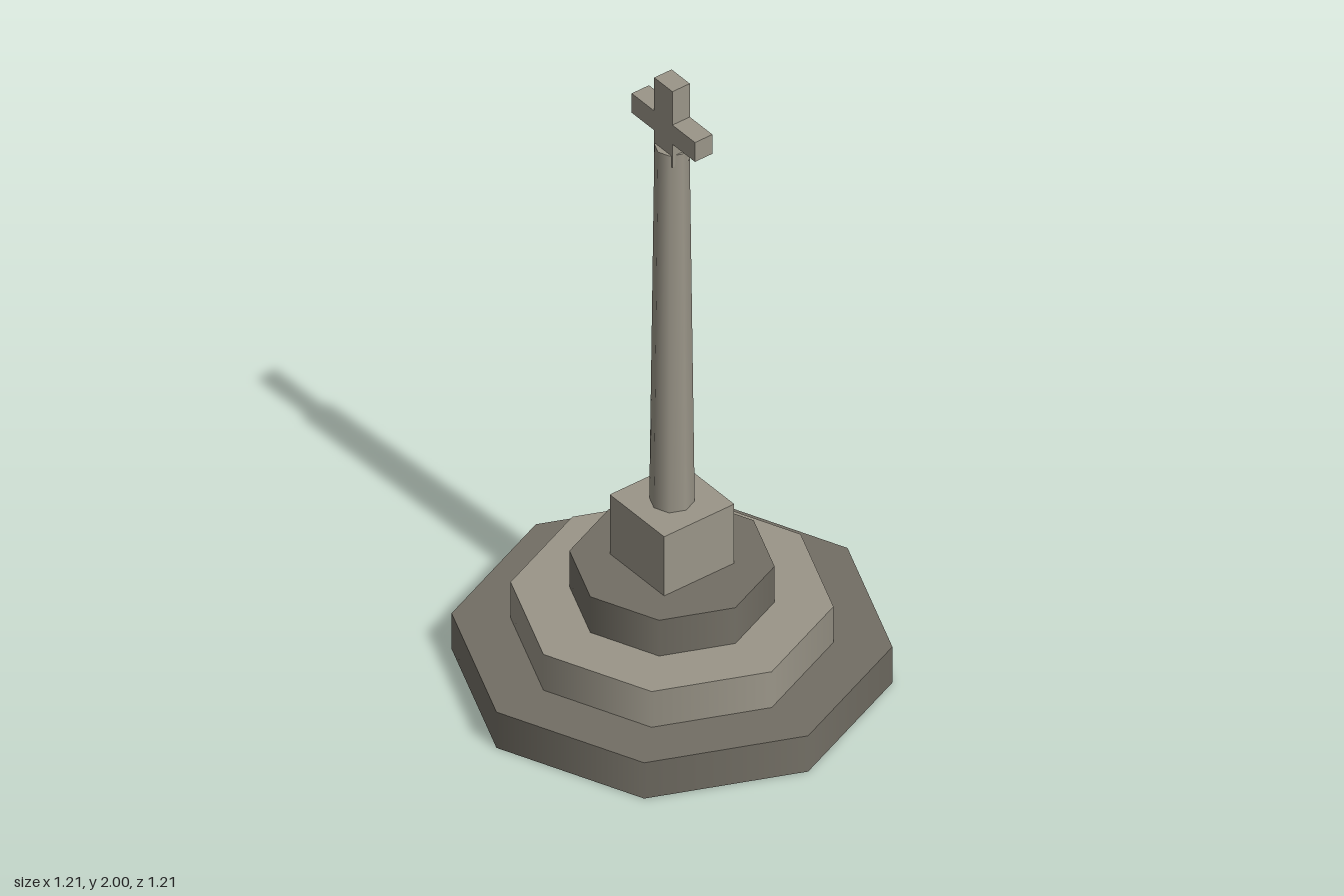
import * as THREE from 'three';

export function createModel() {
  const group = new THREE.Group();
  const lightStone = new THREE.MeshStandardMaterial({ color: 0x9a9588 });
  const darkStone = new THREE.MeshStandardMaterial({ color: 0x726e64 });

  const add = (name, geometry, material, y) => {
    const mesh = new THREE.Mesh(geometry, material);
    mesh.name = name;
    mesh.position.y = y;
    group.add(mesh);
  };

  // Three stacked octagonal steps
  const stepHeight = 0.1222;
  [['lowerStep', 0.606], ['middleStep', 0.444], ['upperStep', 0.282]].forEach(([name, r], i) => {
    const geometry = new THREE.CylinderGeometry(r, r, stepHeight, 8);
    add(name, geometry, i === 1 ? lightStone : darkStone, (i + 0.5) * stepHeight);
  });

  // Square plinth, y 0.367 to 0.569
  add('plinth', new THREE.BoxGeometry(0.242, 0.202, 0.242), lightStone, 0.468);

  // Tapered octagonal shaft, y 0.569 to 1.778
  add('shaft', new THREE.CylinderGeometry(0.0485, 0.0625, 1.209, 8), lightStone, 1.1735);

  // Cross: upright sunk slightly into the shaft, and its arms
  add('crossUpright', new THREE.BoxGeometry(0.081, 0.26, 0.06), lightStone, 1.87);
  add('crossArms', new THREE.BoxGeometry(0.282, 0.066, 0.06), lightStone, 1.853);

  return group;
}
